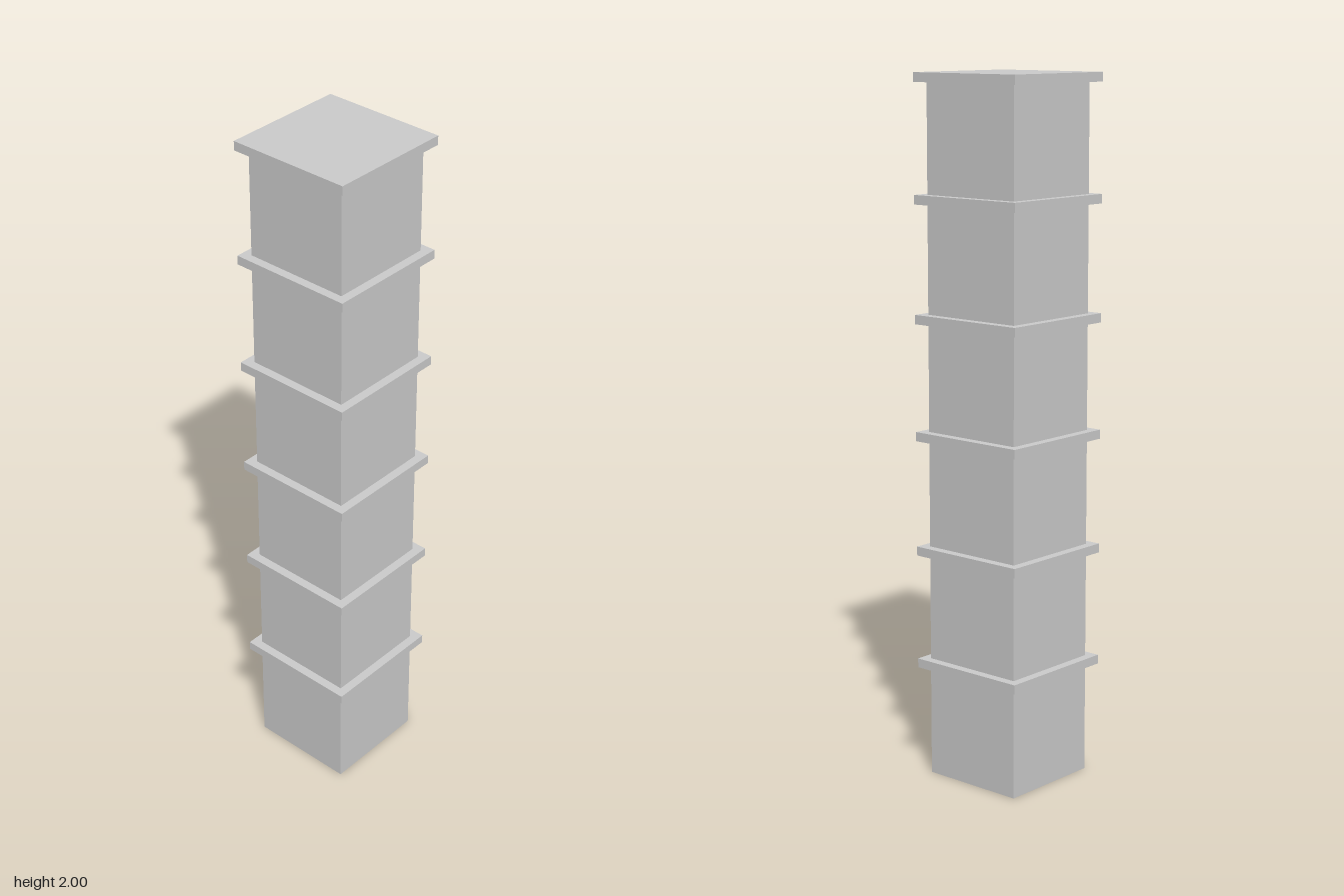
import * as THREE from 'three';

const STOREYS = 6;
const SLAB = { width: 0.366, height: 0.0262 };
const BODY_WIDTH = 0.314;
// Slabs are centred on the storey joints; the last one tops out at y = 2
const PITCH = (2 - SLAB.height / 2) / STOREYS;

export function createModel() {
  const tower = new THREE.Group();
  tower.name = 'tower';
  const material = new THREE.MeshStandardMaterial({ color: 0xcccccc });

  const addBlock = (name, width, bottom, top) => {
    const mesh = new THREE.Mesh(new THREE.BoxGeometry(width, top - bottom, width), material);
    mesh.name = name;
    mesh.position.y = (bottom + top) / 2;
    tower.add(mesh);
  };

  for (let i = 1; i <= STOREYS; i++) {
    const joint = i * PITCH;
    // Square storey, from the slab below (or the ground) up to its own slab
    const bottom = i === 1 ? 0 : joint - PITCH + SLAB.height / 2;
    addBlock(`storey${i}`, BODY_WIDTH, bottom, joint - SLAB.height / 2);
    // Overhanging slab; the topmost is the roof
    const name = i === STOREYS ? 'roofSlab' : `floorSlab${i}`;
    addBlock(name, SLAB.width, joint - SLAB.height / 2, joint + SLAB.height / 2);
  }
  return tower;
}
